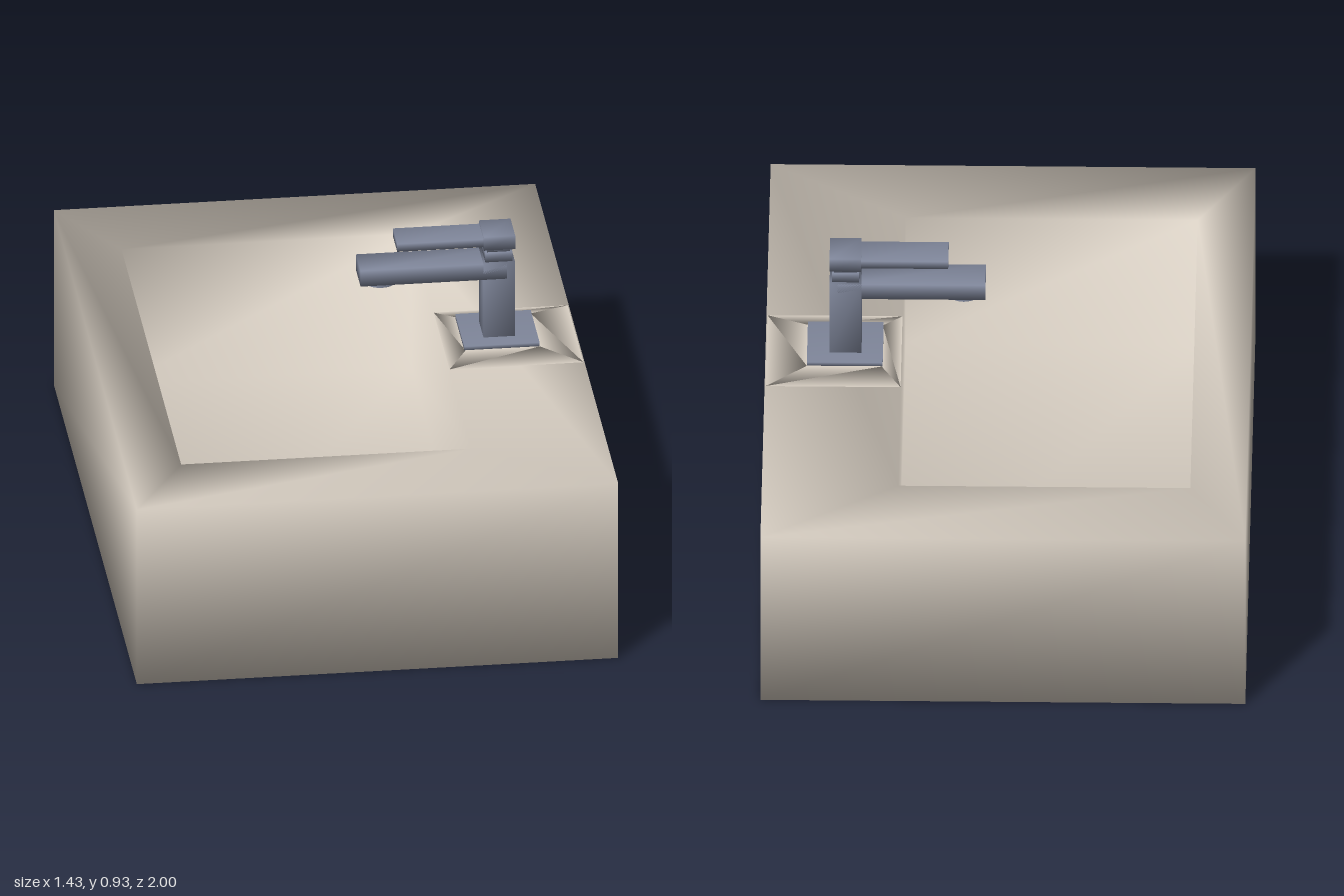
import * as THREE from 'three';

const ceramic = new THREE.MeshStandardMaterial({ color: 0xd9d0c4 });
ceramic.name = 'warm ceramic';
const metal = new THREE.MeshStandardMaterial({ color: 0x7f869a });
metal.name = 'blue grey metal';

// Closed loft through rectangular rings [x0, x1, y, z0, z1], smooth shared corners
function loft(name, material, rings) {
  const points = [];
  const faces = [];
  for (const [x0, x1, y, z0, z1] of rings) {
    points.push(x0, y, z1, x1, y, z1, x1, y, z0, x0, y, z0);
  }
  for (let i = 0; i < rings.length - 1; i++) {
    for (let j = 0; j < 4; j++) {
      const a = i * 4 + j;
      const b = i * 4 + ((j + 1) % 4);
      faces.push(a, b, b + 4, a, b + 4, a + 4);
    }
  }
  const t = (rings.length - 1) * 4;
  faces.push(0, 2, 1, 0, 3, 2, t, t + 1, t + 2, t, t + 2, t + 3);
  const geometry = new THREE.BufferGeometry();
  geometry.setAttribute('position', new THREE.Float32BufferAttribute(points, 3));
  geometry.setIndex(faces);
  geometry.computeVertexNormals();
  const mesh = new THREE.Mesh(geometry, material);
  mesh.name = name;
  return mesh;
}

// Smooth-shaded block centred on z = 0
const block = (name, x0, x1, y0, y1, half) =>
  loft(name, metal, [[x0, x1, y0, -half, half], [x0, x1, y1, -half, half]]);

export function createModel() {
  const model = new THREE.Group();
  model.name = 'washbasin';

  // Outer walls, rim and sunken bowl as one shell
  model.add(loft('basin', ceramic, [
    [-0.713, 0.713, 0, -1, 1],
    [-0.713, 0.713, 0.572, -1, 1],
    [-0.547, 0.312, 0.572, -0.718, 0.718],
    [-0.547, 0.312, 0.13, -0.718, 0.718],
  ]));

  // Gently raised pad carrying the tap
  model.add(loft('tapPad', ceramic, [
    [0.313, 0.71, 0.572, -0.19, 0.19],
    [0.37, 0.59, 0.592, -0.11, 0.11],
  ]));

  // Tap
  const tap = new THREE.Group();
  tap.name = 'tap';
  tap.add(
    block('basePlate', 0.367, 0.59, 0.59, 0.604, 0.109),
    block('column', 0.43, 0.524, 0.604, 0.845, 0.056),
    block('spout', 0.066, 0.5, 0.793, 0.844, 0.056),
    block('neckCollar', 0.437, 0.517, 0.845, 0.875, 0.046),
    block('neck', 0.443, 0.511, 0.875, 0.89, 0.04),
    block('head', 0.431, 0.524, 0.889, 0.933, 0.057),
    block('lever', 0.175, 0.44, 0.899, 0.924, 0.053),
  );
  const outlet = new THREE.Mesh(new THREE.CylinderGeometry(0.048, 0.048, 0.014, 24), metal);
  outlet.name = 'outlet';
  outlet.position.set(0.13, 0.788, 0);
  tap.add(outlet);
  model.add(tap);

  return model;
}
